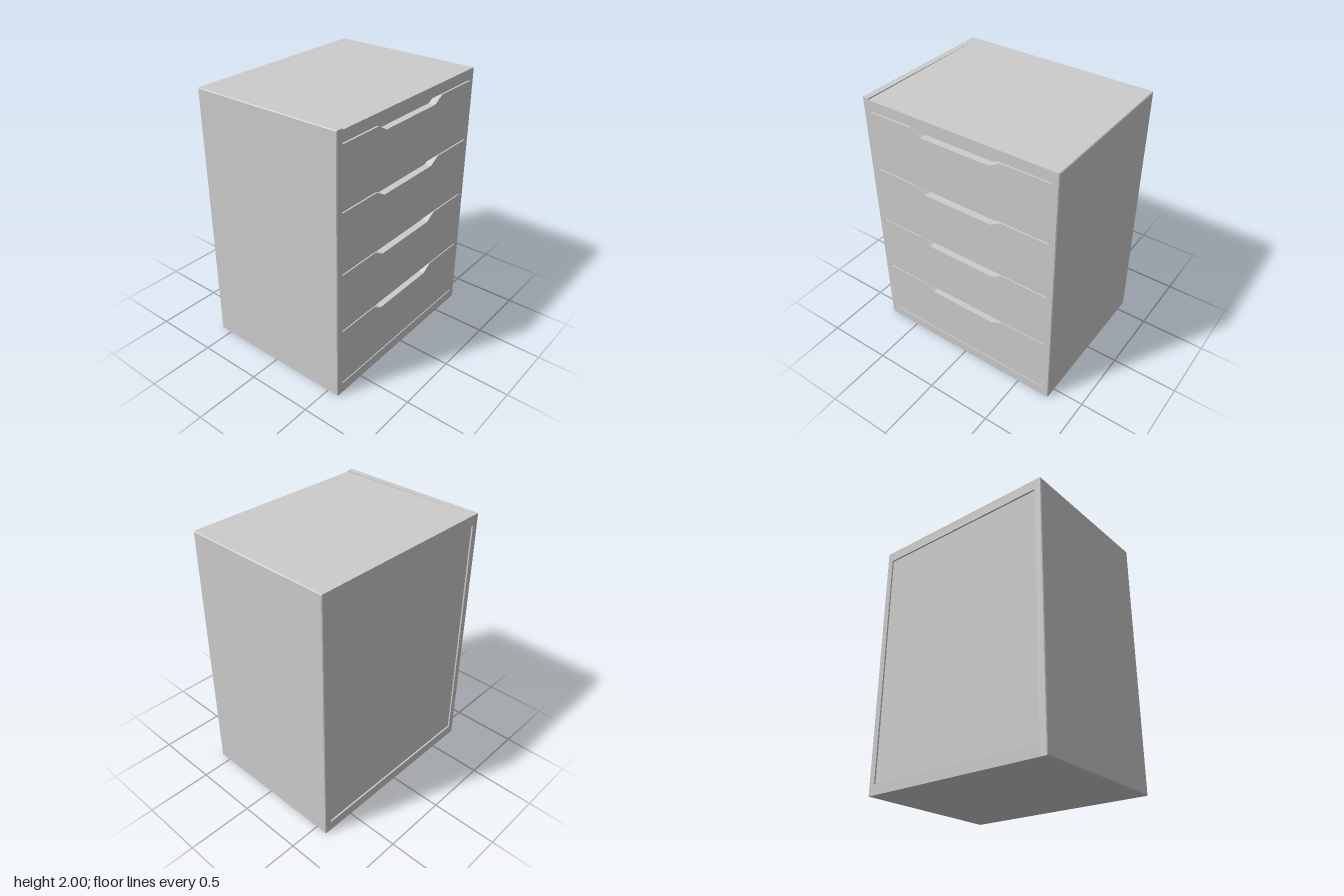
import * as THREE from 'three';
import { ConvexGeometry } from 'three/addons/geometries/ConvexGeometry.js';

const mat = new THREE.MeshStandardMaterial({ color: 0xcccccc, flatShading: true });
const X0 = -0.592, X1 = 0.59, ZI = 0.71;

function add(parent, geometry, name) {
  const mesh = new THREE.Mesh(geometry, mat);
  mesh.name = name;
  parent.add(mesh);
  return mesh;
}

// Box given by its limits on each axis
function box(parent, name, x0, x1, y0, y1, z0, z1) {
  const mesh = add(parent, new THREE.BoxGeometry(x1 - x0, y1 - y0, z1 - z0), name);
  mesh.position.set((x0 + x1) / 2, (y0 + y1) / 2, (z0 + z1) / 2);
  return mesh;
}

// Side board: flat inside, thin chamfer round the outer face
function sidePanel(parent, name, side, topBack, topFront) {
  const points = [];
  for (const [z, inset] of [[ZI, 0], [0.757, 0], [0.763, 0.006]]) {
    points.push(
      new THREE.Vector3(X0 + inset, inset, side * z),
      new THREE.Vector3(X1 - inset, inset, side * z),
      new THREE.Vector3(X1 - inset, topFront - inset, side * z),
      new THREE.Vector3(X0 + inset, topBack - inset, side * z));
  }
  add(parent, new ConvexGeometry(points), name);
}

// Drawer front: plain board with a tapered finger cutout in the top edge
function drawerFront(parent, y0, y1) {
  const depth = 0.05;
  const s = new THREE.Shape([
    [-ZI, y0], [ZI, y0], [ZI, y1], [0.35, y1], [0.27, y1 - 0.048],
    [-0.28, y1 - 0.048], [-0.365, y1], [-ZI, y1],
  ].map(([a, b]) => new THREE.Vector2(a, b)));
  const geo = new THREE.ExtrudeGeometry(s, { depth, bevelEnabled: false });
  geo.rotateY(Math.PI / 2);
  geo.translate(X1 - depth, 0, 0);
  add(parent, geo, 'drawerFront');
}

export function createModel() {
  const cabinet = new THREE.Group();
  cabinet.name = 'drawerCabinet';

  // Carcass; one side board stands slightly proud of the top
  sidePanel(cabinet, 'leftSide', 1, 1.99, 2.0);
  sidePanel(cabinet, 'rightSide', -1, 1.99, 1.99);
  box(cabinet, 'top', X0, X1, 1.91, 1.99, -ZI, ZI);
  box(cabinet, 'base', X0, X1, 0, 0.08, -ZI, ZI);
  box(cabinet, 'backPanel', -0.6 + 0.02, -0.56, 0.08, 1.91, -ZI, ZI);

  // Four drawers with narrow gaps between their fronts
  for (let i = 0; i < 4; i++) {
    const drawer = new THREE.Group();
    drawer.name = 'drawer' + (i + 1);
    const y0 = 0.09 + 0.455 * i, y1 = y0 + 0.445;
    drawerFront(drawer, y0, y1);
    box(drawer, 'drawerBody', -0.555, 0.54, y0 - 0.01, i === 3 ? 1.875 : y1, -ZI, ZI);
    cabinet.add(drawer);
  }
  return cabinet;
}
